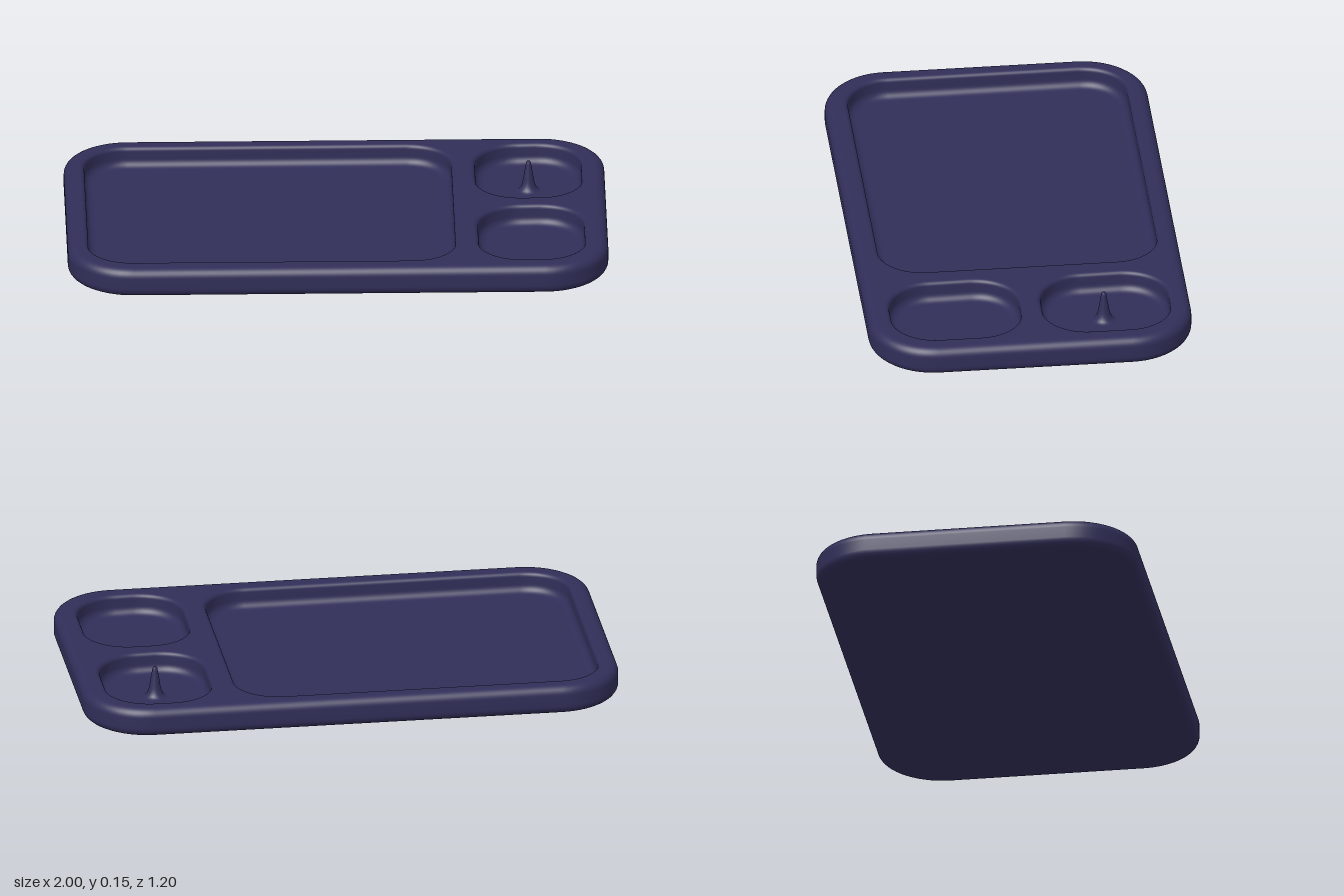
import * as THREE from 'three';

const HEIGHT = 0.11, FLOOR = 0.033;
const CORNER_STEPS = 14;

// Rounded rectangle, counter-clockwise seen from above, shrunk by inset
function outline({ x0, x1, z0, z1, r }, inset) {
  const rad = r - inset, pts = [];
  const corners = [[x1 - r, z0 + r], [x0 + r, z0 + r], [x0 + r, z1 - r], [x1 - r, z1 - r]];
  corners.forEach(([cx, cz], k) => {
    for (let i = 0; i <= CORNER_STEPS; i++) {
      const a = (k + i / CORNER_STEPS) * Math.PI / 2;
      pts.push(new THREE.Vector2(cx + rad * Math.cos(a), cz - rad * Math.sin(a)));
    }
  });
  return pts;
}

// Quarter-round of [inset, y] pairs
function quarter(cx, cy, r, a0, a1, steps = 8) {
  return Array.from({ length: steps + 1 }, (_, i) => {
    const a = a0 + (a1 - a0) * i / steps;
    return [cx + r * Math.cos(a), cy + r * Math.sin(a)];
  });
}

// Sweeps an [inset, y] profile round a rounded rectangle; a flat cap closes one end
function sweep(rect, profile, capFirst) {
  const pos = [], idx = [];
  const n = 4 * (CORNER_STEPS + 1);
  for (const [inset, y] of profile)
    for (const p of outline(rect, inset)) pos.push(p.x, y, p.y);
  for (let j = 0; j < profile.length - 1; j++)
    for (let i = 0; i < n; i++) {
      const a = j * n + i, b = j * n + (i + 1) % n;
      idx.push(a, b, b + n, a, b + n, a + n);
    }
  const ring = capFirst ? 0 : (profile.length - 1) * n;
  const centre = pos.length / 3;
  pos.push((rect.x0 + rect.x1) / 2, profile[capFirst ? 0 : profile.length - 1][1], (rect.z0 + rect.z1) / 2);
  for (let i = 0; i < n; i++) {
    const a = ring + i, b = ring + (i + 1) % n;
    idx.push(...(capFirst ? [b, a, centre] : [a, b, centre]));
  }
  const geo = new THREE.BufferGeometry();
  geo.setAttribute('position', new THREE.Float32BufferAttribute(pos, 3));
  geo.setIndex(idx);
  geo.computeVertexNormals();
  return geo;
}

export function createModel() {
  const group = new THREE.Group();
  const navy = new THREE.MeshStandardMaterial({ color: 0x302e58 });
  navy.name = 'navy';
  const add = (name, geo) => {
    const mesh = new THREE.Mesh(geo, navy);
    mesh.name = name;
    group.add(mesh);
    return mesh;
  };

  const body = { x0: -1, x1: 1, z0: -0.6, z1: 0.6, r: 0.24 };
  const pockets = {
    mainPocket: { x0: -0.94, x1: 0.45, z0: -0.54, z1: 0.53, r: 0.18 },
    backPocket: { x0: 0.505, x1: 0.93, z0: -0.54, z1: -0.033, r: 0.18 },
    frontPocket: { x0: 0.505, x1: 0.93, z0: 0.015, z1: 0.53, r: 0.18 },
  };

  // Outer shell: underside, rounded lower edge, side, rounded upper edge
  const e = 0.035, PI = Math.PI;
  add('outerShell', sweep(body, [
    [e + 0.03, 0],
    ...quarter(e, e, e, 1.5 * PI, PI),
    ...quarter(e, HEIGHT - e, e, PI, PI / 2),
  ], true));

  // Flat rim between the outer edge and the pockets
  const toShape = pts => pts.map(p => new THREE.Vector2(p.x, -p.y));
  const rimShape = new THREE.Shape(toShape(outline(body, e)));
  for (const rect of Object.values(pockets))
    rimShape.holes.push(new THREE.Path(toShape(outline(rect, 0))));
  const rim = new THREE.ShapeGeometry(rimShape);
  rim.rotateX(-PI / 2);
  rim.translate(0, HEIGHT, 0);
  add('rim', rim);

  // Pockets: softened lip, wall, filleted floor
  const lip = 0.016, fillet = 0.032;
  const pocketProfile = [
    ...quarter(0, HEIGHT - lip, lip, PI / 2, 0, 5),
    ...quarter(lip + fillet, FLOOR + fillet, fillet, PI, 1.5 * PI),
    [lip + fillet + 0.02, FLOOR],
  ];
  for (const [name, rect] of Object.entries(pockets))
    add(name, sweep(rect, pocketProfile, false));

  // Tapered pin with a flared foot in the back pocket
  const side = new THREE.SplineCurve([
    [0.05, FLOOR - 0.001], [0.035, FLOOR + 0.006], [0.024, 0.06], [0.0165, 0.1], [0.009, 0.145],
  ].map(p => new THREE.Vector2(...p))).getPoints(16);
  const pin = add('pin', new THREE.LatheGeometry(
    [...side, new THREE.Vector2(0.006, 0.15), new THREE.Vector2(0, 0.151)], 32));
  pin.position.set(0.718, 0, -0.28);

  return group;
}
